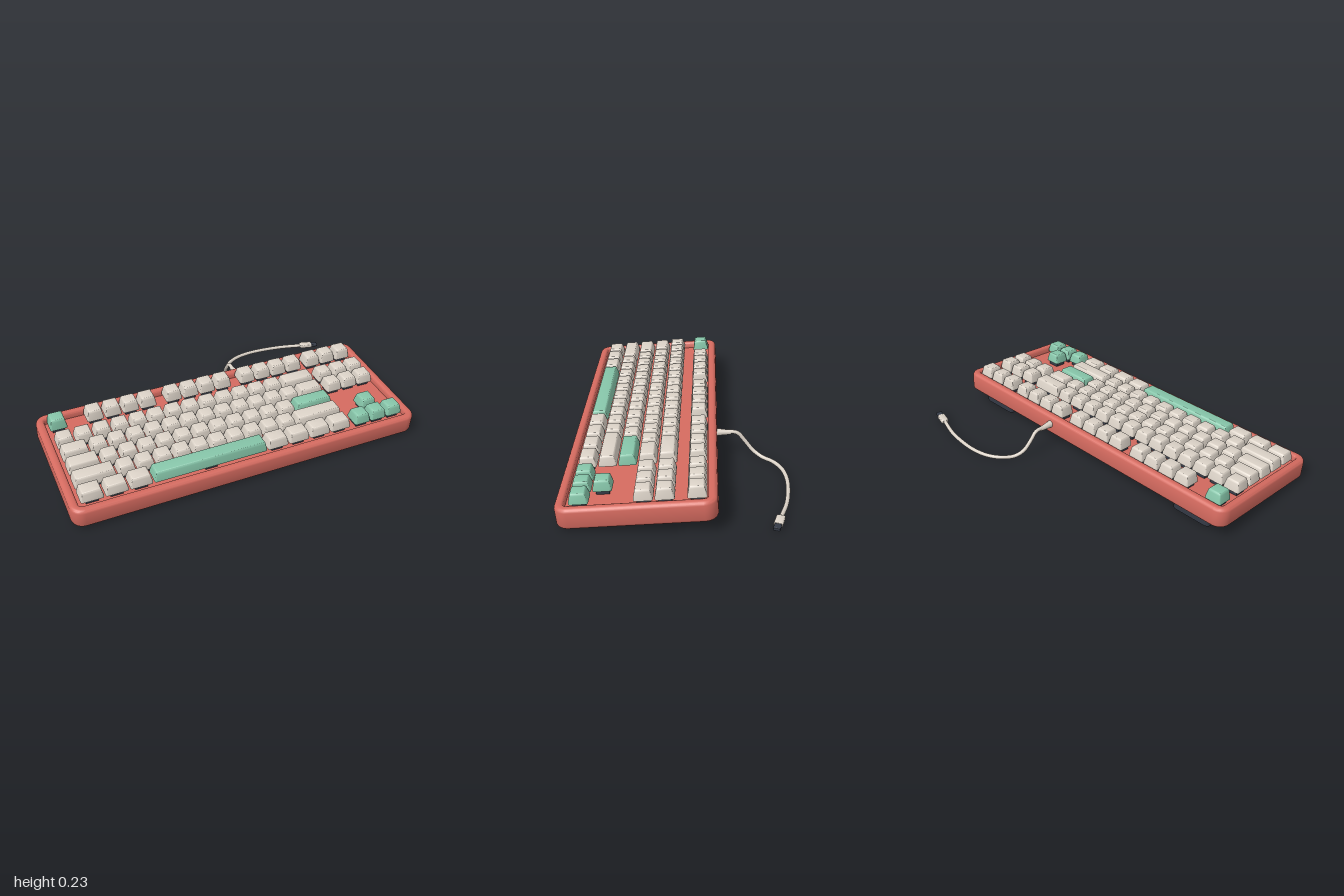
import * as THREE from 'three';
import { toCreasedNormals } from 'three/addons/utils/BufferGeometryUtils.js';

const mat = (name, color) => {
  const m = new THREE.MeshStandardMaterial({ color });
  m.name = name;
  return m;
};

// Rounded-rectangle solid: each profile step is [inset, y], from the bottom cap to the top cap
function loft(w, d, r, profile, seg = 4) {
  const pos = [], idx = [], n = 4 * (seg + 1);
  for (const [inset, y] of profile) {
    const rad = Math.max(r - inset, 0.003);
    const hx = w / 2 - inset - rad, hz = d / 2 - inset - rad;
    for (let q = 0; q < 4; q++) {
      const sx = q === 0 || q === 3 ? 1 : -1, sz = q < 2 ? -1 : 1;
      for (let k = 0; k <= seg; k++) {
        const t = (q + k / seg) * Math.PI / 2;
        pos.push(sx * hx + rad * Math.cos(t), y, sz * hz - rad * Math.sin(t));
      }
    }
  }
  const last = profile.length - 1, bottom = pos.length / 3, top = bottom + 1;
  pos.push(0, profile[0][1], 0, 0, profile[last][1], 0);
  for (let j = 0; j < n; j++) {
    const k = (j + 1) % n;
    for (let i = 0; i < last; i++) {
      const a = i * n + j, b = i * n + k;
      idx.push(a, b, b + n, a, b + n, a + n);
    }
    idx.push(bottom, k, j, top, last * n + j, last * n + k);
  }
  const g = new THREE.BufferGeometry();
  g.setAttribute('position', new THREE.Float32BufferAttribute(pos, 3));
  g.setIndex(idx);
  return toCreasedNormals(g, 0.6);
}

export function createModel() {
  const coral = mat('coral case', 0xd46a5f);
  const cream = mat('cream keycap', 0xdbd2c7);
  const green = mat('mint keycap', 0x86c5a9);
  const dark = mat('charcoal', 0x343a46);

  const model = new THREE.Group();
  model.name = 'keyboard';
  const add = (parent, name, geo, material, x = 0, y = 0, z = 0) => {
    const m = new THREE.Mesh(geo, material);
    m.name = name;
    m.position.set(x, y, z);
    parent.add(m);
    return m;
  };

  // Tilted body: case, keys and feet share the typing angle
  const body = new THREE.Group();
  body.name = 'body';
  body.position.set(0, 0.043, 0.18);
  body.rotation.x = 0.087;
  model.add(body);

  // Case: outer wall, rounded rim, then down into the key well
  add(body, 'case', loft(2, 0.78, 0.065, [
    [0.018, 0], [0.009, 0.003], [0.003, 0.009], [0, 0.018],
    [0, 0.095], [0.003, 0.104], [0.009, 0.11], [0.018, 0.113],
    [0.034, 0.113], [0.041, 0.11], [0.045, 0.104], [0.045, 0.075],
  ], 8), coral);

  // Key rows, front to back: [z, height, [start, widths...] blocks] in key units
  const U = 0.1033, X0 = -0.943, Z0 = 0.274;
  const ones = (n) => Array(n).fill(1);
  const rows = [
    { back: 0, h: 0.056, blocks: [[0, 1.25, 1.25, 1.25, 6.25, 1.25, 1.25, 1.25, 1.25], [15.25, 1, 1, 1]] },
    { back: 1, h: 0.057, blocks: [[0, 2.25, ...ones(10), 2.75], [16.25, 1]] },
    { back: 2, h: 0.057, blocks: [[0, 1.75, ...ones(11), 2.25]] },
    { back: 3, h: 0.058, blocks: [[0, 1.5, ...ones(12), 1.5], [15.25, 1, 1, 1]] },
    { back: 4, h: 0.060, blocks: [[0, ...ones(13), 2], [15.25, 1, 1, 1]] },
    { back: 5.5, h: 0.062, blocks: [[0, 1], [2, ...ones(4)], [6.5, ...ones(4)], [11, ...ones(4)], [15.25, 1, 1, 1]] },
  ];
  // Accent keys: escape, space bar, enter and the arrow cluster
  const isAccent = (row, u, w) =>
    w === 6.25 || (row === 2 && w === 2.25) || (row === 5 && u === 0) || (row < 2 && u >= 15);

  const keys = new THREE.Group();
  keys.name = 'keys';
  body.add(keys);
  const switchGeo = new THREE.BoxGeometry(0.066, 0.03, 0.066);
  rows.forEach(({ back, h, blocks }, row) => {
    const z = Z0 - back * U, cache = {};
    for (const [start, ...widths] of blocks) {
      let u = start;
      for (const w of widths) {
        cache[w] ??= loft(w * U - 0.008, U - 0.008, 0.01, [
          [0, 0], [0.001, 0.012], [0.009, h - 0.014], [0.011, h - 0.006], [0.014, h - 0.002], [0.019, h],
        ], 3);
        const x = X0 + (u + w / 2) * U;
        add(keys, 'keycap', cache[w], isAccent(row, u, w) ? green : cream, x, 0.1, z);
        add(keys, 'keySwitch', switchGeo, dark, x, 0.089, z);
        u += w;
      }
    }
  });

  // Feet: tall pair at the back, thin pads at the front
  const backFoot = loft(0.24, 0.062, 0.026, [[0.008, -0.067], [0.002, -0.064], [0, -0.058], [0, 0.005]]);
  const frontFoot = loft(0.16, 0.054, 0.026, [[0.004, -0.013], [0, -0.009], [0, 0.005]]);
  for (const s of [-1, 1]) {
    add(body, 'backFoot', backFoot, dark, s * 0.77, 0, -0.308);
    add(body, 'frontFoot', frontFoot, dark, s * 0.81, 0, 0.31);
  }

  // Cable with strain relief, dropping to the desk and curving to the plug
  const relief = add(model, 'strainRelief', new THREE.CylinderGeometry(0.012, 0.022, 0.09, 20), cream, 0.24, 0.139, -0.235);
  relief.rotation.x = -Math.PI / 2;
  const path = new THREE.CatmullRomCurve3([
    [0.24, 0.139, -0.2], [0.24, 0.143, -0.27], [0.241, 0.137, -0.315], [0.244, 0.09, -0.358],
    [0.257, 0.04, -0.402], [0.285, 0.014, -0.45], [0.335, 0.012, -0.51], [0.405, 0.012, -0.55],
    [0.49, 0.012, -0.568], [0.58, 0.012, -0.569], [0.73, 0.012, -0.55], [0.88, 0.016, -0.504],
  ].map((p) => new THREE.Vector3(...p)));
  add(model, 'cable', new THREE.TubeGeometry(path, 90, 0.011, 12), cream);

  // Plug: cream grip with a dark connector tip
  const plug = new THREE.Group();
  plug.name = 'plug';
  plug.position.set(0.855, 0.017, -0.512);
  plug.rotation.set(0, -0.28, -Math.PI / 2);
  model.add(plug);
  add(plug, 'plugGrip', loft(0.028, 0.046, 0.011, [[0.006, 0], [0.001, 0.008], [0, 0.014], [0, 0.072], [0.003, 0.077]]), cream);
  add(plug, 'plugTip', loft(0.018, 0.036, 0.007, [[0, 0.07], [0, 0.113], [0.002, 0.116]]), dark);

  return model;
}
